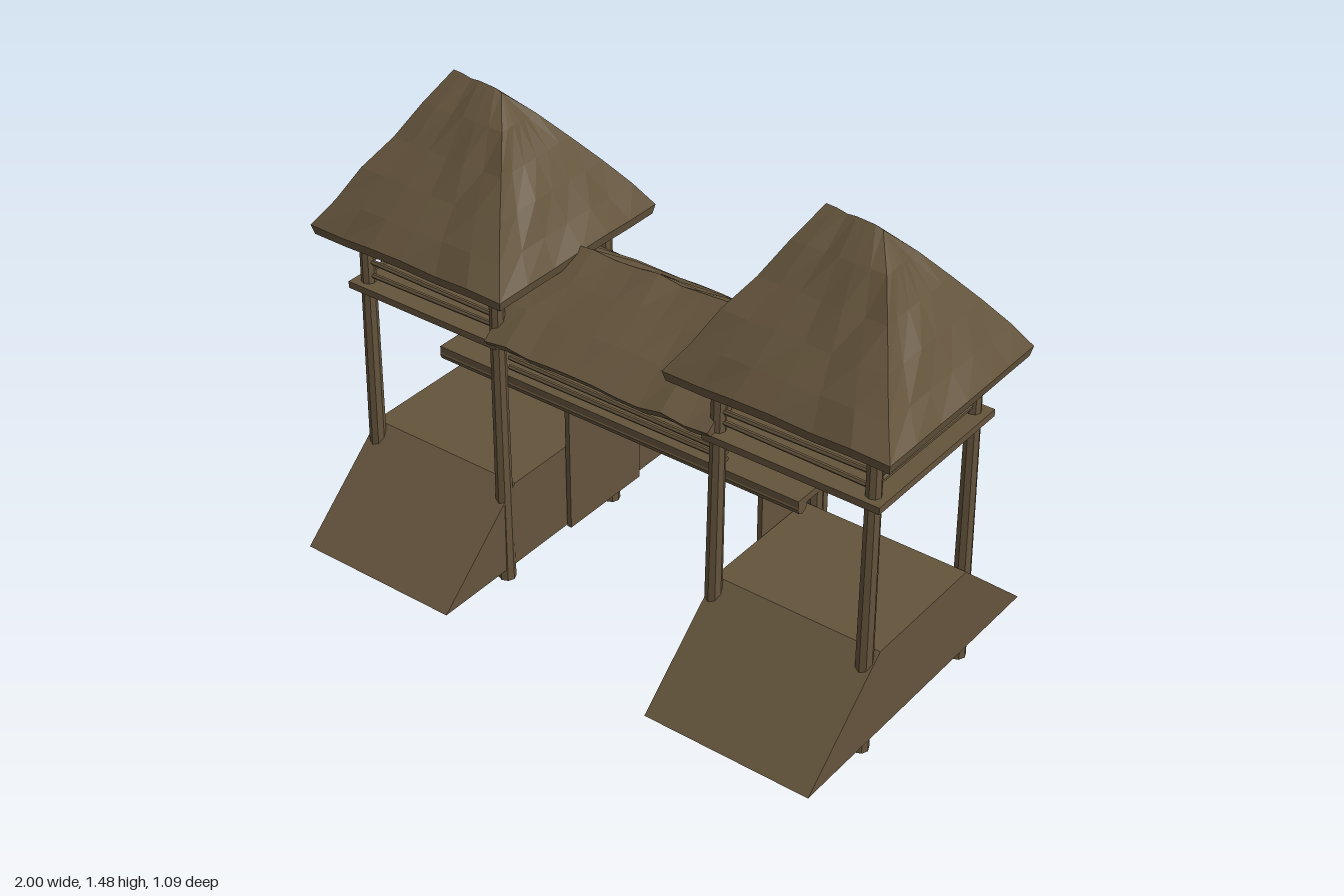
import * as THREE from 'three';

const wood = new THREE.MeshStandardMaterial({ color: 0x64543c, flatShading: true });
wood.name = 'weathered brown';

// Repeatable noise in -1..1 from a position
const noise = (x, y, z) => {
  const s = Math.sin(x * 12.99 + y * 78.23 + z * 37.72) * 43758.55;
  return 2 * (s - Math.floor(s)) - 1;
};

function add(parent, name, geometry, x = 0, y = 0, z = 0) {
  const mesh = new THREE.Mesh(geometry, wood);
  mesh.name = name;
  mesh.position.set(x, y, z);
  parent.add(mesh);
  return mesh;
}

// Round pole between two points
function pole(parent, name, a, b, r0, r1 = r0, sides = 8) {
  const from = new THREE.Vector3(...a), to = new THREE.Vector3(...b);
  const dir = to.clone().sub(from);
  const mesh = add(parent, name, new THREE.CylinderGeometry(r1, r0, dir.length(), sides));
  mesh.position.copy(from).add(to).multiplyScalar(0.5);
  mesh.quaternion.setFromUnitVectors(new THREE.Vector3(0, 1, 0), dir.normalize());
}

// Hollow thatched hip roof: rectangular rings running inside, round the eave and up to the ridge
function hipRoof() {
  const rows = [
    // half x, half z, y, roughness
    [0.07, 0, 1.43, 0], [0.2, 0.165, 1.225, 0.2], [0.33, 0.325, 1.025, 0.3],
    [0.352, 0.347, 1.018, 0.7],
    [0.36, 0.356, 1.05, 1], [0.31, 0.295, 1.123, 0.6], [0.255, 0.225, 1.208, 0.6],
    [0.2, 0.15, 1.296, 0.5], [0.143, 0.075, 1.388, 0.5], [0.088, 0, 1.473, 0.8]];
  const corners = [[-1, 1], [1, 1], [1, -1], [-1, -1]];
  const seg = 6, n = seg * 4, positions = [], index = [];
  rows.forEach(([hx, hz, y, rough], r) => {
    for (let i = 0; i < n; i++) {
      const [ax, az] = corners[Math.floor(i / seg)];
      const [bx, bz] = corners[(Math.floor(i / seg) + 1) % 4];
      const f = (i % seg) / seg;
      const cx = ax + (bx - ax) * f, cz = az + (bz - az) * f;
      const x = cx * hx, z = cz * hz, k = rough * 0.012;
      // neighbouring eave rows share a wave so the rim keeps its thickness
      const w = r === 3 || r === 4 ? 4 : r;
      const wave = r === rows.length - 1 ? noise(Math.round(cx * 9), 1, w) : noise(cx, w, cz);
      positions.push(x + k * cx * wave * 0.8, y + k * wave, z + (hz ? k * cz * wave * 0.8 : 0));
    }
  });
  for (let r = 0; r < rows.length - 1; r++) {
    for (let i = 0; i < n; i++) {
      const a = r * n + i, b = r * n + (i + 1) % n;
      index.push(a, b, b + n, a, b + n, a + n);
    }
  }
  const g = new THREE.BufferGeometry();
  g.setAttribute('position', new THREE.Float32BufferAttribute(positions, 3));
  g.setIndex(index);
  g.computeVertexNormals();
  return g;
}

// Gabled thatch, roughened along its length
function gableRoof() {
  const shape = new THREE.Shape([
    [-0.27, 0.825], [-0.14, 0.925], [0, 1.03], [0.14, 0.925], [0.27, 0.825],
    [0.3, 0.86], [0.2, 0.935], [0.1, 1.005], [0, 1.07], [-0.1, 1.005], [-0.2, 0.935], [-0.3, 0.86],
  ].map(([z, y]) => new THREE.Vector2(z, y)));
  const length = 0.78;
  const g = new THREE.ExtrudeGeometry(shape, { depth: length, steps: 10, bevelEnabled: false });
  g.translate(0, 0, -length / 2);
  g.rotateY(Math.PI / 2);
  const p = g.attributes.position;
  for (let i = 0; i < p.count; i++) {
    const x = Math.round(p.getX(i) * 100), z = Math.round(p.getZ(i) * 10);
    p.setY(i, p.getY(i) + 0.008 * noise(x, 2, z));
  }
  g.computeVertexNormals();
  return g;
}

function tower(side) {
  const g = new THREE.Group();
  g.name = side > 0 ? 'leftTower' : 'rightTower';
  const cx = side * 0.64;

  // Base with sloping front and back
  const profile = new THREE.Shape([[-0.545, 0.04], [0.545, 0.04], [0.22, 0.33], [-0.22, 0.33]]
    .map(([z, y]) => new THREE.Vector2(z, y)));
  const ramp = new THREE.ExtrudeGeometry(profile, { depth: 0.55, bevelEnabled: false });
  ramp.translate(0, 0, -0.275);
  ramp.rotateY(Math.PI / 2);
  add(g, 'rampBase', ramp, cx);

  // Leaning posts
  for (const z of [-1, 1]) {
    pole(g, 'outerPost', [side * 0.888, 0, z * 0.253], [side * 0.88, 1.06, z * 0.243], 0.027, 0.022);
    pole(g, 'innerPost', [side * 0.38, 0, z * 0.253], [side * 0.388, 1.06, z * 0.243], 0.027, 0.022);
  }

  add(g, 'platform', new THREE.BoxGeometry(0.565, 0.022, 0.57), side * 0.643, 0.838);

  // Railings on the three outward sides
  [0.875, 0.915, 0.957, 1.0].forEach((y, i) => {
    const tilt = 0.003 * (i % 2 ? 1 : -1);
    for (const z of [-0.245, 0.245]) {
      pole(g, 'railing', [side * 0.88, y + tilt, z], [side * 0.388, y - tilt, z], 0.008, 0.008, 6);
    }
    pole(g, 'sideRailing', [side * 0.882, y + tilt, -0.245], [side * 0.882, y - tilt, 0.245], 0.008, 0.008, 6);
  });

  add(g, 'towerRoof', hipRoof(), side * 0.635);

  // Upright board on the inner face
  add(g, 'wallPanel', new THREE.BoxGeometry(0.016, 0.54, 0.34), side * 0.353, 0.31, -0.18);
  return g;
}

function bridge() {
  const g = new THREE.Group();
  g.name = 'bridge';
  add(g, 'bridgeDeck', new THREE.BoxGeometry(1.27, 0.022, 0.44), 0, 0.692);
  for (const z of [-0.2, 0.2]) {
    pole(g, 'bridgeBeam', [-0.635, 0.676, z], [0.635, 0.676, z], 0.022);
    [0.722, 0.75, 0.779, 0.812].forEach((y, i) => {
      const tilt = 0.002 * (i % 2 ? 1 : -1);
      pole(g, 'bridgeRailing', [-0.385, y + tilt, z], [0.385, y - tilt, z], 0.008, 0.008, 6);
    });
  }
  add(g, 'bridgeRoof', gableRoof());
  return g;
}

export function createModel() {
  const model = new THREE.Group();
  model.name = 'twinTowerPlayhouse';
  model.add(tower(-1), tower(1), bridge());
  return model;
}
